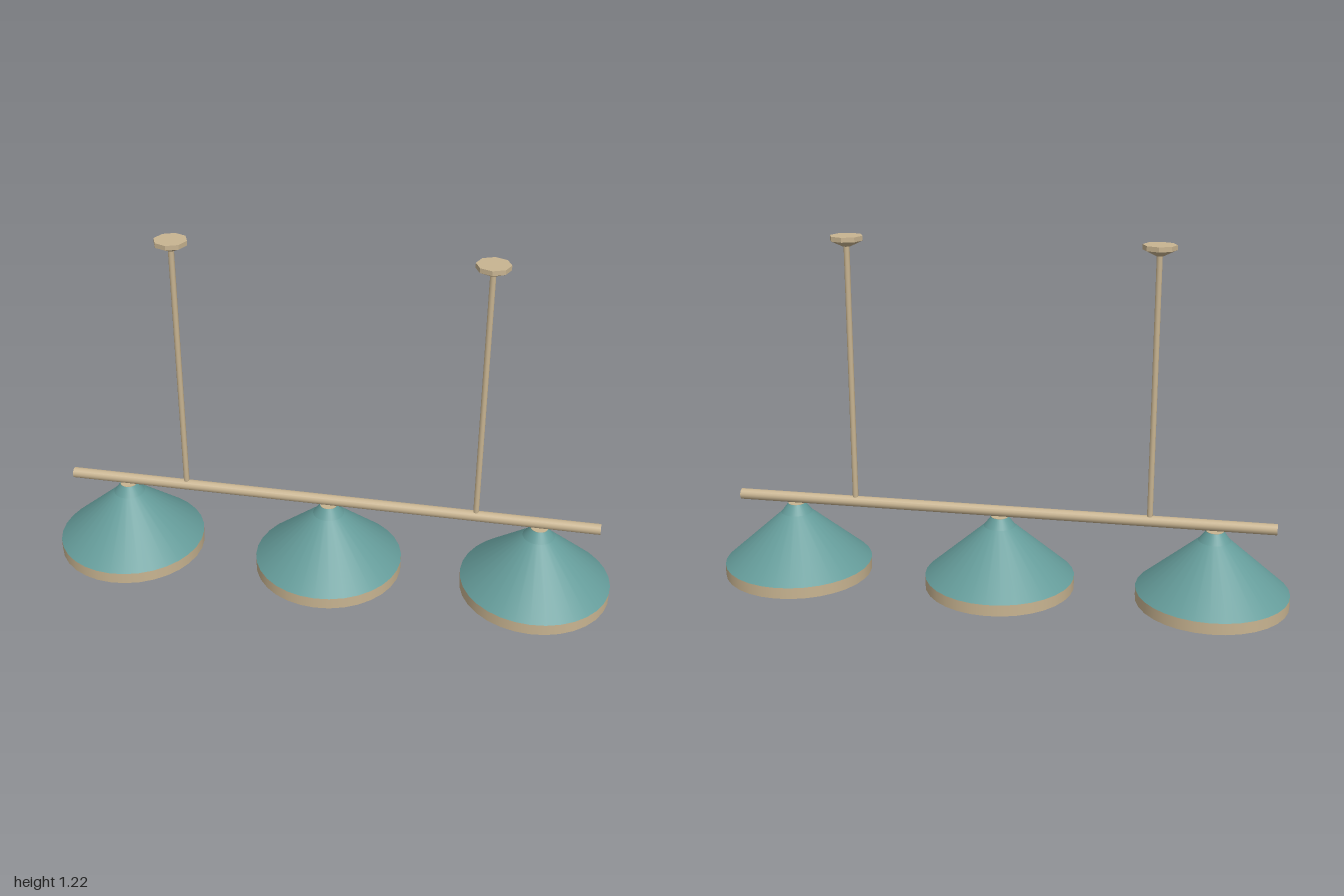
import * as THREE from 'three';

const brass = new THREE.MeshStandardMaterial({ name: 'brass', color: 0xc8b491 });
const teal = new THREE.MeshStandardMaterial({ name: 'teal enamel', color: 0x659c9a });
const lining = new THREE.MeshStandardMaterial({ name: 'pale lining', color: 0xd8d2c4 });

function add(parent, name, geometry, material, x = 0, y = 0, z = 0) {
  const mesh = new THREE.Mesh(geometry, material);
  mesh.name = name;
  mesh.position.set(x, y, z);
  parent.add(mesh);
  return mesh;
}

// Surface of revolution; points going up face outward, going down face inward
const lathe = (points, segments = 32) =>
  new THREE.LatheGeometry(points.map(([r, y]) => new THREE.Vector2(r, y)), segments);

function createShade() {
  const shade = new THREE.Group();
  shade.name = 'shade';
  // Conical shell with a steeper neck
  add(shade, 'shadeCone', lathe([[0.262, 0.04], [0.055, 0.222]]), teal);
  add(shade, 'shadeNeck', lathe([[0.055, 0.222], [0.03, 0.255]]), teal);
  add(shade, 'shadeLining', lathe([[0.001, 0.245], [0.028, 0.245], [0.052, 0.219], [0.258, 0.04]]), lining);
  // Rim band: outside, bottom lip and inside
  add(shade, 'rimOuter', lathe([[0.262, 0], [0.262, 0.04]]), brass);
  add(shade, 'rimLip', lathe([[0.258, 0], [0.262, 0]]), brass);
  add(shade, 'rimInner', lathe([[0.258, 0.04], [0.258, 0]]), brass);
  // Small cap closing the neck
  add(shade, 'neckCap', new THREE.CylinderGeometry(0.03, 0.03, 0.004, 16), brass, 0, 0.254);
  return shade;
}

function createHanger() {
  const hanger = new THREE.Group();
  hanger.name = 'hanger';
  add(hanger, 'rod', new THREE.CylinderGeometry(0.01, 0.01, 0.91, 10), brass, 0, 0.735);
  // Faceted ceiling mount: straight plate above a taper
  const plate = new THREE.CylinderGeometry(0.056, 0.056, 0.016, 8).toNonIndexed();
  const taper = new THREE.CylinderGeometry(0.056, 0.014, 0.02, 8).toNonIndexed();
  plate.computeVertexNormals();
  taper.computeVertexNormals();
  add(hanger, 'mountPlate', plate, brass, 0, 1.209);
  add(hanger, 'mountTaper', taper, brass, 0, 1.191);
  return hanger;
}

export function createModel() {
  const model = new THREE.Group();
  model.name = 'threeShadeLamp';
  // Horizontal bar
  add(model, 'bar', new THREE.CylinderGeometry(0.019, 0.019, 1.885, 16), brass, 0, 0.275)
    .rotation.z = Math.PI / 2;
  for (const x of [-0.738, 0, 0.738]) {
    const shade = createShade();
    shade.position.x = x;
    model.add(shade);
  }
  for (const x of [-0.518, 0.518]) {
    const hanger = createHanger();
    hanger.position.x = x;
    model.add(hanger);
  }
  return model;
}
